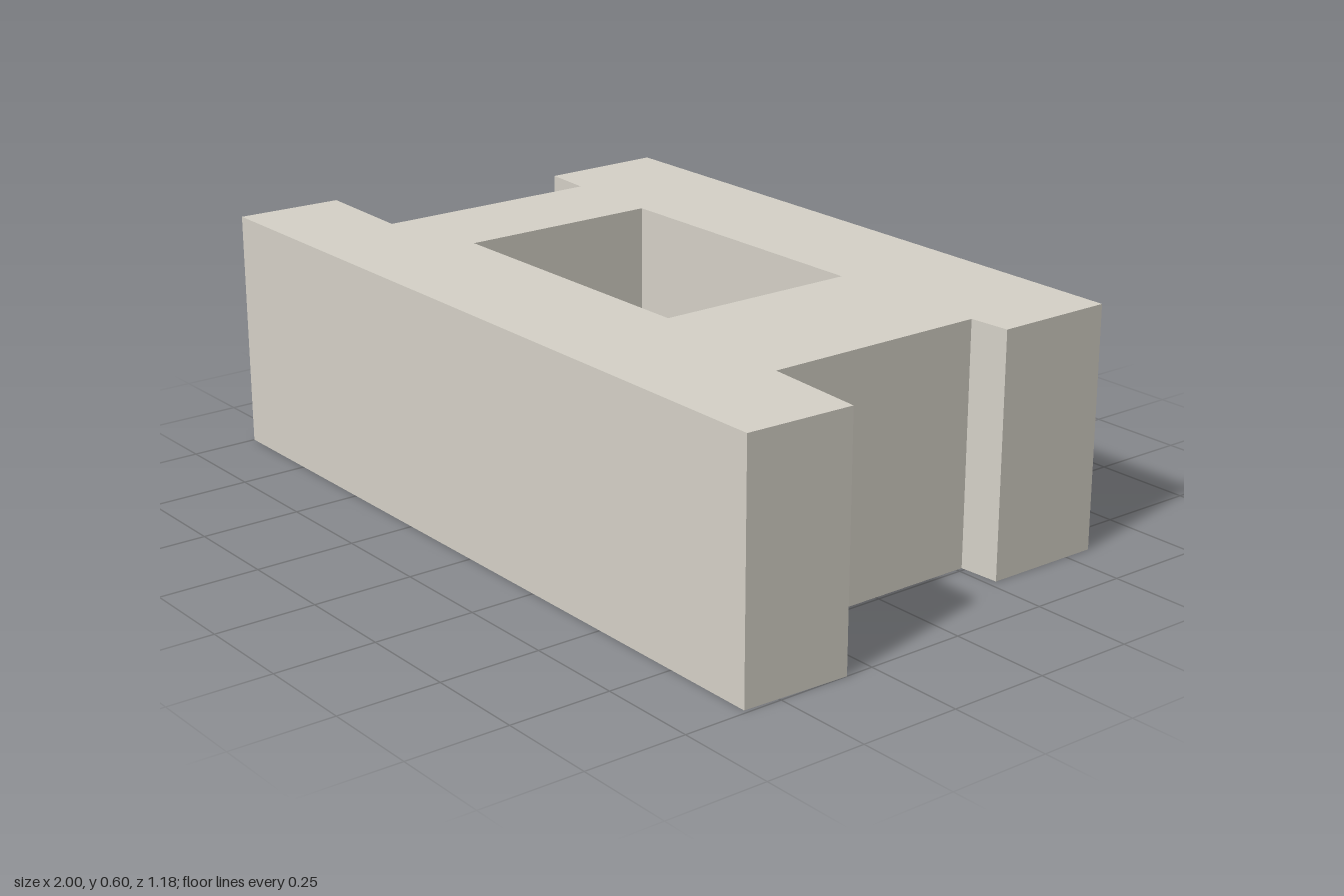
import * as THREE from 'three';

const HEIGHT = 0.598;

// Plan corners as [x, z]; extruded straight up
const outline = [
  [-0.845, -0.59], [0.843, -0.574], [0.843, -0.273], [0.74, -0.266],
  [0.74, 0.302], [1, 0.32], [0.99, 0.59], [-1, 0.58],
  [-0.99, 0.31], [-0.71, 0.32], [-0.71, -0.265], [-0.84, -0.274],
];
// Wound opposite to the outline so the shaft walls face inward
const opening = [[-0.44, -0.258], [-0.44, 0.257], [0.32, 0.257], [0.32, -0.258]];

// Plan z points down the page, so it is flipped into shape y
const toPoints = (corners) => corners.map(([x, z]) => new THREE.Vector2(x, -z));

export function createModel() {
  const stone = new THREE.MeshStandardMaterial({ color: 0xd6d2c8 });
  stone.name = 'warm grey stone';

  // I-shaped block with a rectangular shaft through the web
  const plan = new THREE.Shape(toPoints(outline));
  plan.holes.push(new THREE.Path(toPoints(opening)));
  const geometry = new THREE.ExtrudeGeometry(plan, { depth: HEIGHT, bevelEnabled: false });
  geometry.rotateX(-Math.PI / 2);

  const block = new THREE.Mesh(geometry, stone);
  block.name = 'buildingBlock';

  const model = new THREE.Group();
  model.name = 'courtyardBuilding';
  model.add(block);
  return model;
}
